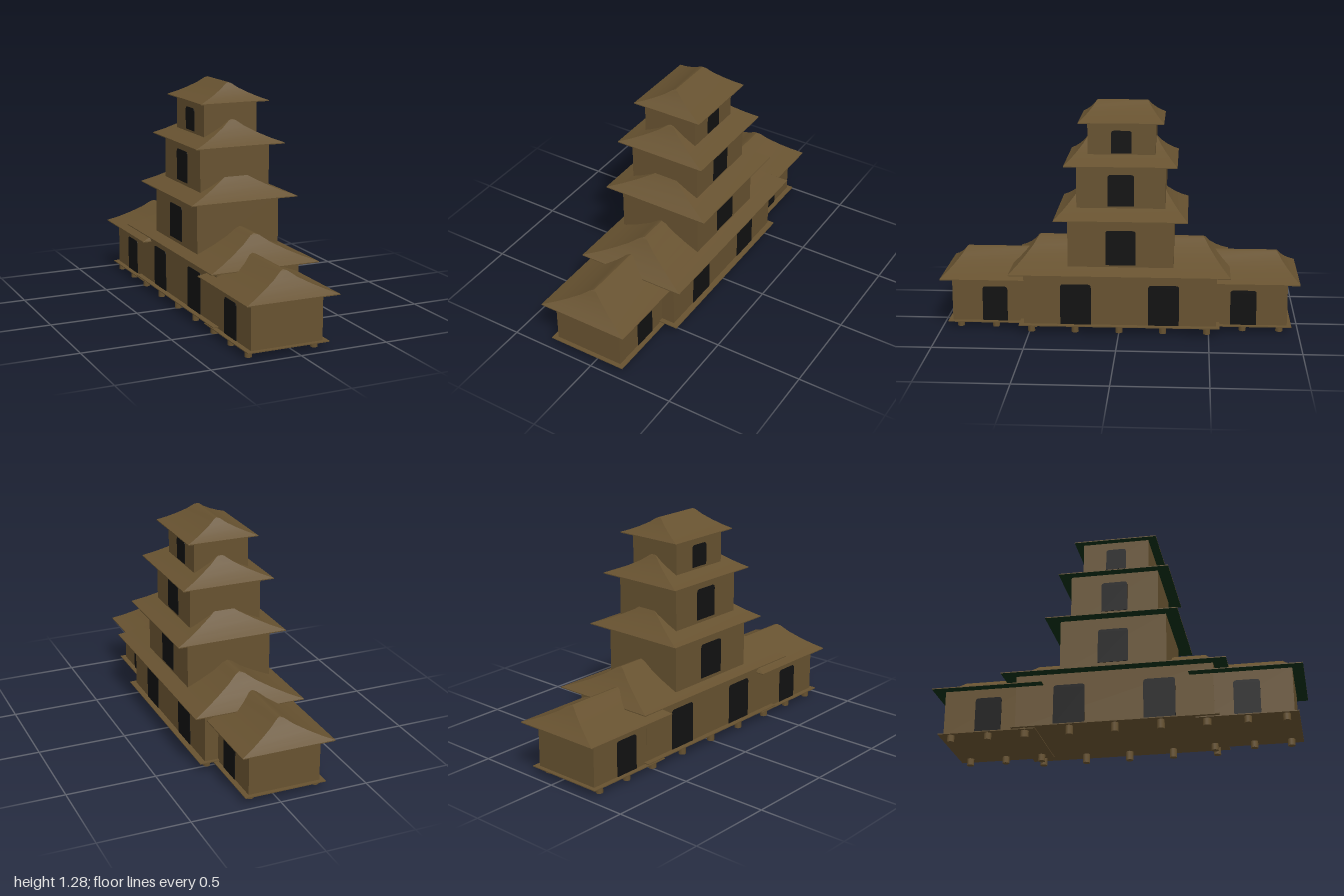
import * as THREE from 'three';

const wood = new THREE.MeshStandardMaterial({ color: 0x675230 });
wood.name = 'brown wood';
const green = new THREE.MeshStandardMaterial({ color: 0x0d2e14 });
green.name = 'dark green soffit';
const black = new THREE.MeshStandardMaterial({ color: 0x111111 });
black.name = 'black opening';

function add(group, geometry, material, name) {
  const mesh = new THREE.Mesh(geometry, material);
  mesh.name = name;
  group.add(mesh);
  return mesh;
}

// Box given by its limits on each axis
function boxBetween(group, [x0, x1], [y0, y1], [z0, z1], material, name) {
  const mesh = add(group, new THREE.BoxGeometry(x1 - x0, y1 - y0, z1 - z0), material, name);
  mesh.position.set((x0 + x1) / 2, (y0 + y1) / 2, (z0 + z1) / 2);
  return mesh;
}

// Concave slope of the roofs: [part of the way in, part of the way up]
const SLOPE = [[0, 0], [0.25, 0.19], [0.5, 0.42], [0.75, 0.69], [0.92, 0.94], [1, 1]];

// Hipped roof with a ridge along z; each side is its own smooth strip
function hipRoof(group, [x0, x1], y, [z0, z1], height, name) {
  const run = (x1 - x0) / 2;
  const inset = run * 0.48;
  const rings = SLOPE.map(([t, h]) => {
    const a = x0 + run * t, b = x1 - run * t;
    const c = z0 + inset * t, d = z1 - inset * t;
    const level = y + height * h;
    return [[a, level, d], [b, level, d], [b, level, c], [a, level, c]];
  });
  const points = [], index = [];
  for (let side = 0; side < 4; side++) {
    const base = points.length / 3;
    rings.forEach((ring) => points.push(...ring[side], ...ring[(side + 1) % 4]));
    for (let i = 0; i < rings.length - 1; i++) {
      const k = base + i * 2;
      index.push(k, k + 1, k + 3, k, k + 3, k + 2);
    }
  }
  const geometry = new THREE.BufferGeometry();
  geometry.setAttribute('position', new THREE.Float32BufferAttribute(points, 3));
  geometry.setIndex(index);
  geometry.computeVertexNormals();
  add(group, geometry, wood, name);
  // Thin eave board, green underneath
  boxBetween(group, [x0, x1], [y - 0.005, y], [z0, z1],
    [wood, wood, wood, green, wood, wood], name + 'Eave');
}

// Doorway plate with rounded top corners
function doorGeometry(width, height) {
  const w = width / 2, r = 0.018;
  const shape = new THREE.Shape();
  shape.moveTo(-w, 0);
  shape.lineTo(w, 0);
  shape.lineTo(w, height - r);
  shape.quadraticCurveTo(w, height, w - r, height);
  shape.lineTo(-w + r, height);
  shape.quadraticCurveTo(-w, height, -w, height - r);
  return new THREE.ExtrudeGeometry(shape, { depth: 0.004, bevelEnabled: false, curveSegments: 4 });
}

// The same doorway on both long walls
function doorPair(group, [x0, x1], y, z, width, height) {
  const geometry = doorGeometry(width, height);
  const left = add(group, geometry, black, 'leftDoor');
  left.rotation.y = Math.PI / 2;
  left.position.set(x1 - 0.001, y, z);
  const right = add(group, geometry, black, 'rightDoor');
  right.rotation.y = -Math.PI / 2;
  right.position.set(x0 + 0.001, y, z);
}

const STOREYS = [
  { name: 'mainHall', x: [-0.255, 0.232], y: [0.052, 0.357], z: [-0.541, 0.528],
    roofX: [-0.317, 0.315], roofZ: [-0.614, 0.603], rise: 0.156,
    doors: [[0.053, 0.239, 0.171, 0.232], [0.053, -0.249, 0.171, 0.232]] },
  { name: 'secondStorey', x: [-0.255, 0.232], y: [0.36, 0.667], z: [-0.303, 0.281],
    roofX: [-0.317, 0.314], roofZ: [-0.378, 0.351], rise: 0.156,
    doors: [[0.4, -0.011, 0.166, 0.195]] },
  { name: 'thirdStorey', x: [-0.215, 0.197], y: [0.67, 0.957], z: [-0.255, 0.233],
    roofX: [-0.265, 0.262], roofZ: [-0.319, 0.298], rise: 0.131,
    doors: [[0.725, -0.011, 0.145, 0.175]] },
  { name: 'topStorey', x: [-0.166, 0.149], y: [0.96, 1.184], z: [-0.198, 0.174],
    roofX: [-0.204, 0.201], roofZ: [-0.244, 0.222], rise: 0.099,
    doors: [[1.01, -0.011, 0.113, 0.125]] },
  { name: 'frontWing', x: [-0.254, 0.154], y: [0.04, 0.297], z: [0.458, 0.941],
    roofX: [-0.306, 0.219], roofZ: [0.4, 1], rise: 0.129,
    doors: [[0.041, 0.7, 0.14, 0.2]] },
  { name: 'backWing', x: [-0.254, 0.154], y: [0.04, 0.297], z: [-0.936, -0.447],
    roofX: [-0.306, 0.219], roofZ: [-1, -0.39], rise: 0.129,
    doors: [[0.041, -0.692, 0.145, 0.2]] },
];

export function createModel() {
  const model = new THREE.Group();
  model.name = 'tieredHall';

  // Storeys and wings: walls, doorways and roof
  for (const s of STOREYS) {
    const part = new THREE.Group();
    part.name = s.name;
    boxBetween(part, s.x, s.y, s.z, wood, 'walls');
    for (const [y, z, width, height] of s.doors) doorPair(part, s.x, y, z, width, height);
    hipRoof(part, s.roofX, s.y[1], s.roofZ, s.rise, 'roof');
    model.add(part);
  }

  // Floor platforms
  boxBetween(model, [-0.286, 0.265], [0.049, 0.054], [-0.56, 0.555], wood, 'mainFloor');
  boxBetween(model, [-0.282, 0.182], [0.037, 0.042], [0.43, 0.965], wood, 'frontWingFloor');
  boxBetween(model, [-0.282, 0.182], [0.037, 0.042], [-0.96, -0.425], wood, 'backWingFloor');

  // Short stilts in two rows under each platform
  const postRows = [
    { x: [-0.25, 0.2], z: [-0.49, -0.245, 0, 0.245, 0.49], height: 0.05 },
    { x: [-0.25, 0.127], z: [0.9, 0.7, 0.485], height: 0.04 },
    { x: [-0.25, 0.127], z: [-0.895, -0.69, -0.485], height: 0.04 },
  ];
  for (const { x, z, height } of postRows) {
    const geometry = new THREE.CylinderGeometry(0.02, 0.02, height, 8);
    for (const px of x) for (const pz of z) {
      add(model, geometry, wood, 'stilt').position.set(px, height / 2, pz);
    }
  }
  return model;
}
